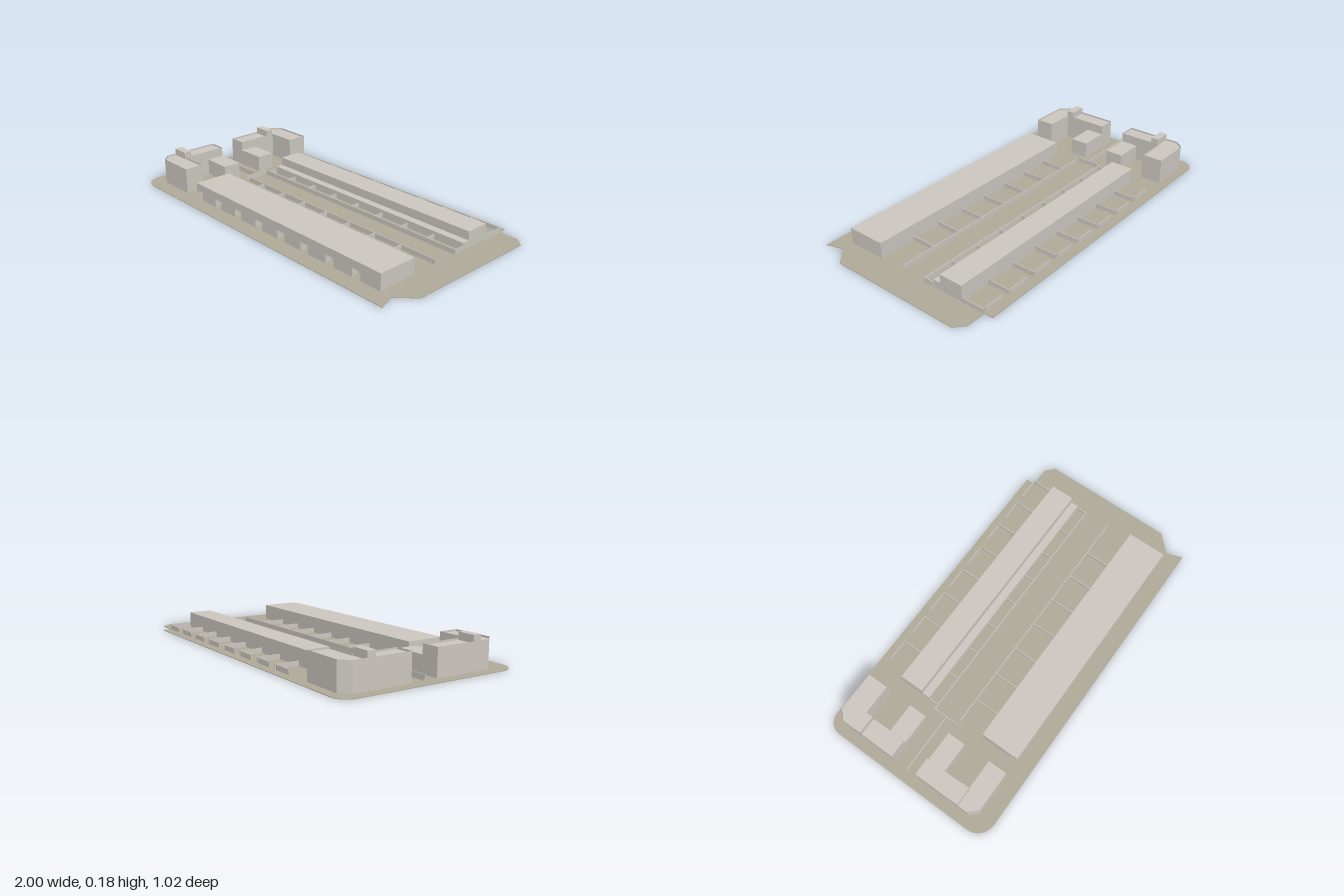
import * as THREE from 'three';

const stone = new THREE.MeshStandardMaterial({ color: 0xccc7c0, flatShading: true, side: THREE.DoubleSide });
const earth = new THREE.MeshStandardMaterial({ color: 0xb0a998, flatShading: true });

export function createModel() {
  const model = new THREE.Group();
  const add = (name, geometry, material = stone, parent = model) => {
    const mesh = new THREE.Mesh(geometry, material);
    mesh.name = name;
    parent.add(mesh);
    return mesh;
  };
  // box given by its limits
  const block = (name, x0, x1, y0, y1, z0, z1, parent) =>
    add(name, new THREE.BoxGeometry(x1 - x0, y1 - y0, z1 - z0)
      .translate((x0 + x1) / 2, (y0 + y1) / 2, (z0 + z1) / 2), stone, parent);
  // upright prism over a plan shape drawn in (x, -z)
  const prism = (shape, h) =>
    new THREE.ExtrudeGeometry(shape, { depth: h, bevelEnabled: false, curveSegments: 8 }).rotateX(-Math.PI / 2);
  const plan = (pts) => new THREE.Shape(pts.map(([x, z]) => new THREE.Vector2(x, -z)));
  // thin garden wall between two points, parallel to an axis
  const T = 0.002, WALL = 0.03;
  const wall = (name, x0, z0, x1, z1, parent, h = WALL) =>
    block(name, x0 - T, x1 + T, 0, h, z0 - T, z1 + T, parent);

  // Ground plate with two rounded corners and clipped right end
  const g = new THREE.Shape();
  g.moveTo(-0.92, 0.515);
  g.lineTo(0.84, 0.515);
  g.lineTo(0.84, 0.465);
  g.lineTo(0.95, 0.465);
  g.lineTo(1, 0.42);
  g.lineTo(1, -0.33);
  g.lineTo(0.91, -0.42);
  g.lineTo(0.94, -0.51);
  g.lineTo(-0.9, -0.51);
  g.absarc(-0.9, -0.41, 0.1, -Math.PI / 2, -Math.PI, true);
  g.lineTo(-1, 0.435);
  g.absarc(-0.92, 0.435, 0.08, Math.PI, Math.PI / 2, true);
  add('ground', prism(g, 0.003), earth);

  const X0 = -0.573, X1 = 0.845, PITCH = (X1 - X0) / 8;

  // Front terrace: comb-shaped front with a porch recess per house
  const frontRow = new THREE.Group();
  frontRow.name = 'frontTerrace';
  model.add(frontRow);
  const comb = new THREE.Shape();
  comb.moveTo(X1, 0);
  comb.lineTo(X1, 0.093);
  comb.lineTo(X0, 0.093);
  for (let i = 0; i < 8; i++) {
    const x = X0 + i * PITCH;
    comb.lineTo(x, 0.05);
    comb.lineTo(x + 0.055, 0.05);
    comb.lineTo(x + 0.055, 0);
    if (i < 7) comb.lineTo(x + PITCH, 0);
  }
  add('porchFront', new THREE.ExtrudeGeometry(comb, { depth: 0.045, bevelEnabled: false })
    .translate(0, 0, 0.375), stone, frontRow);
  block('frontHouses', X0, X1, 0, 0.093, 0.2, 0.375, frontRow);

  // Back terrace with its low rear extension
  block('backHouses', X0, X1, 0, 0.093, -0.335, -0.2);
  block('backExtension', X0, X1, 0, 0.045, -0.2, -0.157);

  // Garden and alley walls
  const walls = new THREE.Group();
  walls.name = 'gardenWalls';
  model.add(walls);
  for (let i = 0; i < 7; i++) {
    const x = -0.43 + i * PITCH;
    wall('frontGardenWall', x, 0.05, x, 0.2, walls);
  }
  for (let i = 0; i <= 8; i++) {
    const x = X0 + i * PITCH;
    wall('backGardenWall', x, -0.1, x, -0.157, walls).geometry.scale(1, 1, 1);
    if (i > 0) wall('yardWall', x, -0.465, x, -0.335, walls);
    // yard front, open at a gate beside every dividing wall
    if (i < 8) wall('yardFrontWall', x + 0.055, -0.465, x + PITCH - 0.012, -0.465, walls);
  }
  wall('alleyWallFront', X0, 0.05, X1, 0.05, walls);
  wall('alleyWallBack', -0.6, -0.098, X1, -0.098, walls);
  wall('alleyEndWall', -0.6, -0.095, -0.6, 0.053, walls);
  wall('cornerPlotWall', -0.94, -0.02, -0.6, -0.02, walls, 0.033);

  // Corner building: L-shaped tall part with parapet, low wing, stair tower
  const corner = (name, s, outer, arm, inner, wing, tower) => {
    const b = new THREE.Group();
    b.name = name;
    model.add(b);
    const pts = [[-0.94, s * inner], [-0.84, s * inner], [-0.84, s * arm], [-0.67, s * arm],
      [-0.67, s * outer], [-0.895, s * outer], [-0.94, s * (outer - 0.048)]];
    add('tallBlock', prism(plan(pts), 0.138), stone, b);
    pts.forEach(([x, z], i) => {
      const [x2, z2] = pts[(i + 1) % pts.length];
      const edge = new THREE.PlaneGeometry(Math.hypot(x2 - x, z2 - z), 0.01);
      edge.rotateY(Math.atan2(z - z2, x2 - x)).translate((x + x2) / 2, 0.143, (z + z2) / 2);
      add('parapet', edge, stone, b);
    });
    const span = (a, c) => [Math.min(s * a, s * c), Math.max(s * a, s * c)];
    block('lowWing', -0.84, -0.67, 0, 0.095, ...span(inner, wing), b);
    block('stairTower', -0.94, -0.84, 0.138, 0.178, ...span(...tower), b);
  };
  corner('frontCornerBuilding', 1, 0.423, 0.315, 0.053, 0.157, [0.275, 0.32]);
  corner('backCornerBuilding', -1, 0.465, 0.345, 0.097, 0.2, [0.296, 0.34]);

  return model;
}
